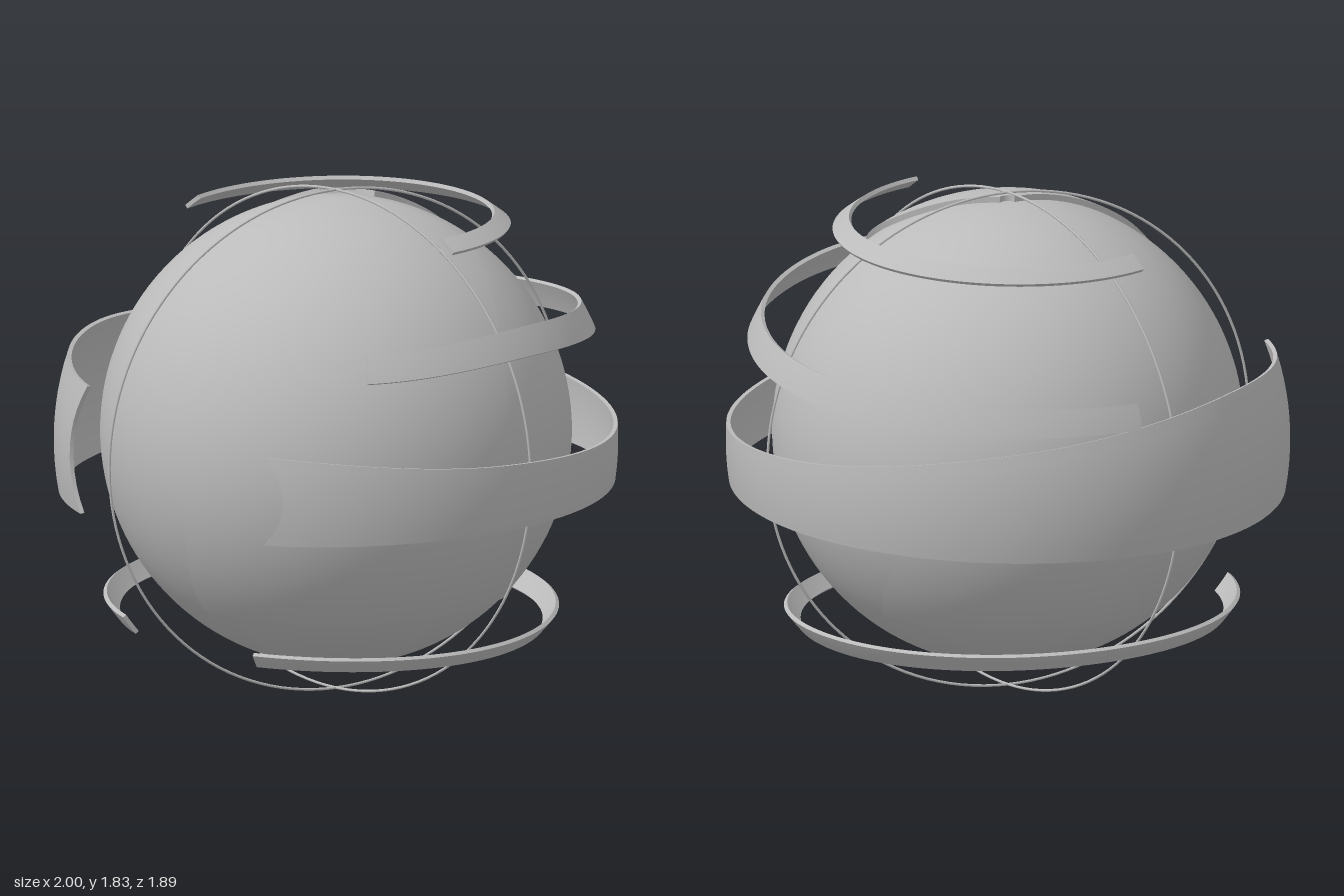
import * as THREE from 'three';
import { mergeGeometries } from 'three/addons/utils/BufferGeometryUtils.js';

const CENTRE = new THREE.Vector3(0, 0.916, 0.065); // centre of rings and bands
const BALL_Y = 0.95;

// Smooth function of 0..1 through evenly spaced values
function smooth(values) {
  const curve = new THREE.SplineCurve(values.map((v, i) => new THREE.Vector2(i, v)));
  return (t) => curve.getPoint(t).y;
}

// Grid surface; the normal is du x dv
function sheet(fn, nu, nv) {
  const pos = [], index = [];
  for (let j = 0; j <= nv; j++) {
    for (let i = 0; i <= nu; i++) pos.push(...fn(i / nu, j / nv));
  }
  for (let j = 0; j < nv; j++) {
    for (let i = 0; i < nu; i++) {
      const a = j * (nu + 1) + i, b = a + 1, c = a + nu + 1, d = c + 1;
      index.push(a, b, d, a, d, c);
    }
  }
  const g = new THREE.BufferGeometry();
  g.setAttribute('position', new THREE.Float32BufferAttribute(pos, 3));
  g.setIndex(index);
  g.computeVertexNormals();
  return g;
}

// Closed piece of a spherical shell; at(s, t) gives [azimuth, latitude] in radians,
// azimuth counted from +z towards +x
function shell(at, rOut, rIn, cy, nu, nv) {
  const p = (s, t, r) => {
    const [az, lat] = at(s, t);
    const h = r * Math.cos(lat);
    return [h * Math.sin(az), cy + r * Math.sin(lat), CENTRE.z + h * Math.cos(az)];
  };
  const mix = (w) => rOut + (rIn - rOut) * w;
  return mergeGeometries([
    sheet((u, v) => p(u, v, rOut), nu, nv),
    sheet((u, v) => p(1 - u, v, rIn), nu, nv),
    sheet((u, v) => p(u, 1, mix(v)), nu, 1),
    sheet((u, v) => p(1 - u, 0, mix(v)), nu, 1),
    sheet((u, v) => p(1, u, mix(1 - v)), nv, 1),
    sheet((u, v) => p(0, 1 - u, mix(1 - v)), nv, 1),
  ]);
}

export function createModel() {
  const group = new THREE.Group();
  const grey = new THREE.MeshStandardMaterial({ color: 0xbbbbbb });
  grey.name = 'grey';
  const rad = THREE.MathUtils.degToRad;
  const add = (name, geometry) => {
    const mesh = new THREE.Mesh(geometry, grey);
    mesh.name = name;
    group.add(mesh);
    return mesh;
  };

  // Core ball
  add('ball', new THREE.SphereGeometry(0.836, 96, 64)).position.set(0, BALL_Y, CENTRE.z);

  // Slightly raised plates: left and right edge azimuths from bottom to top
  const plate = (name, lat0, lat1, left, right) => {
    const l = smooth(left), r = smooth(right);
    add(name, shell((s, t) => [
      rad(THREE.MathUtils.lerp(l(t), r(t), s)),
      rad(THREE.MathUtils.lerp(lat0, lat1, t)),
    ], 0.857, 0.82, BALL_Y, 48, 48));
  };
  plate('frontPlate', -39, 88, [-4, 1, 3, -3, -9, -5], [106, 88, 88, 97, 123, 125]);
  plate('backPlate', -39, 74, [187, 200, 206, 192, 176, 185], [272, 258, 254, 256, 257, 235]);

  // Thin meridian hoops
  [0, -21 + 90].forEach((deg, i) => {
    const hoop = add('hoop' + (i + 1), new THREE.TorusGeometry(0.911, 0.005, 8, 128));
    hoop.position.copy(CENTRE);
    hoop.rotation.y = rad(deg);
  });

  // Open bands floating on a unit sphere: lower and upper edge heights along the sweep
  const band = (name, az0, az1, bow, low, high) => {
    const lo = smooth(low), hi = smooth(high);
    add(name, shell((s, t) => {
      const bend = bow * (2 * t - 1) ** 2;
      const y = THREE.MathUtils.lerp(lo(s), hi(s), t) - CENTRE.y;
      return [rad(THREE.MathUtils.lerp(az0 - bend, az1 + bend, s)), Math.asin(y)];
    }, 1, 0.985, CENTRE.y, 120, 10));
  };
  band('wideBand', 30, 330, 4,
    [0.77, 0.78, 0.775, 0.765, 0.75, 0.735, 0.74],
    [1.09, 1.02, 0.975, 1.03, 1.15, 1.24, 1.205]);
  band('upperBand', 48, 258, 0,
    [1.345, 1.365, 1.31, 1.25, 1.21, 1.2],
    [1.435, 1.46, 1.41, 1.35, 1.31, 1.29]);
  band('topBand', 84, 276, 0, [1.71, 1.69, 1.675], [1.75, 1.735, 1.72]);
  band('bottomBand', 19, 334, 0,
    [0.26, 0.24, 0.265, 0.3, 0.28],
    [0.31, 0.29, 0.33, 0.36, 0.345]);

  return group;
}
